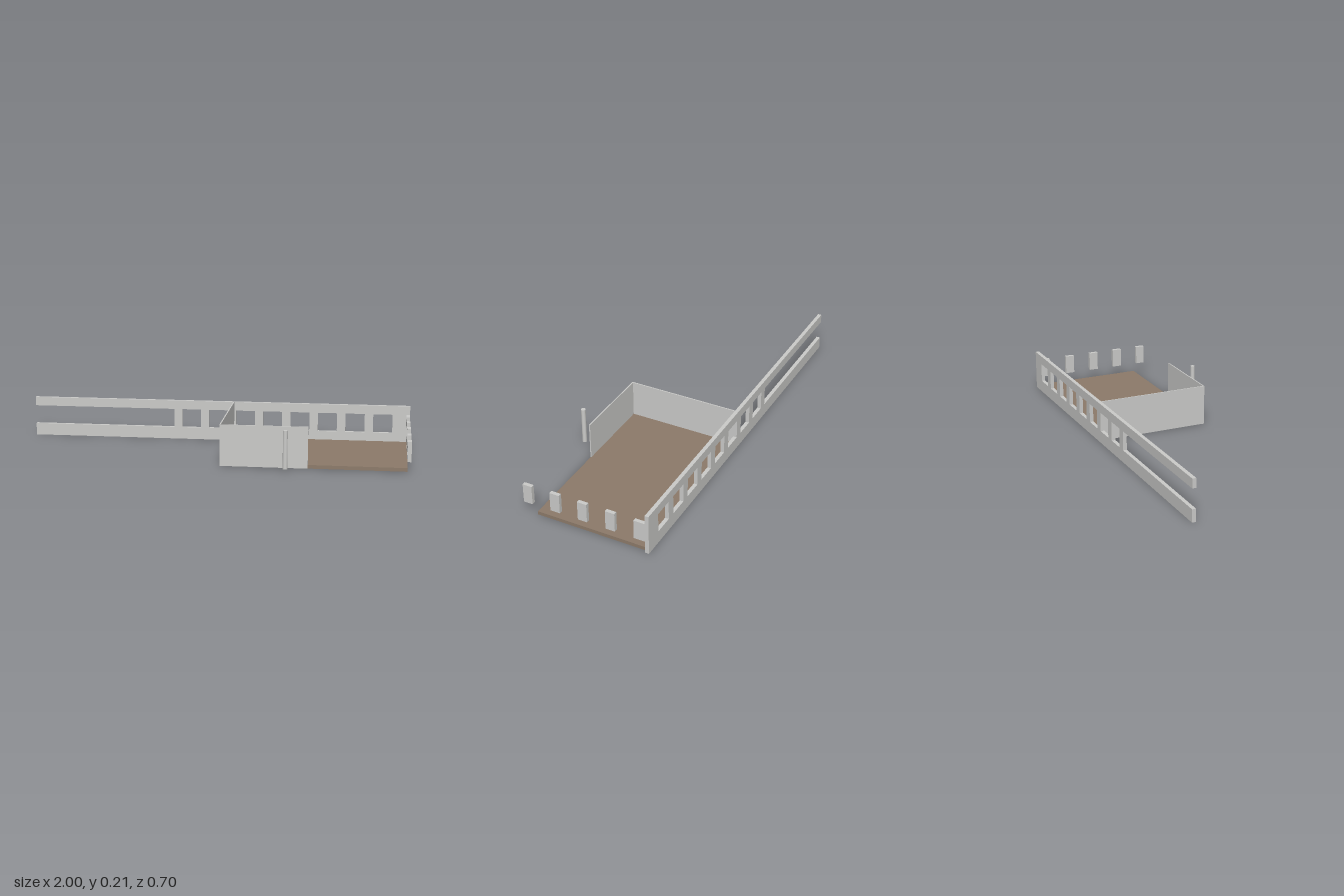
import * as THREE from 'three';

export function createModel() {
  const model = new THREE.Group();
  const concrete = new THREE.MeshStandardMaterial({ color: 0xcacac8 });
  concrete.name = 'concreteGrey';
  const wood = new THREE.MeshStandardMaterial({ color: 0x8c7a69 });
  wood.name = 'floorBrown';

  const add = (name, geometry, material) => {
    const mesh = new THREE.Mesh(geometry, material);
    mesh.name = name;
    model.add(mesh);
    return mesh;
  };
  // Box given by its lower and upper corner
  const box = (name, material, [x0, y0, z0], [x1, y1, z1]) =>
    add(name, new THREE.BoxGeometry(x1 - x0, y1 - y0, z1 - z0), material)
      .position.set((x0 + x1) / 2, (y0 + y1) / 2, (z0 + z1) / 2);

  const top = 0.207, sill = 0.063, head = 0.161;
  const backZ = -0.348, innerZ = -0.329;

  // Long back wall: eight windows, open between two rails at the far end
  const wall = new THREE.Shape([
    [-1, 0], [1, 0], [1, top], [-1, top],
    [-1, head], [-0.243, head], [-0.243, sill], [-1, sill],
  ].map(([x, y]) => new THREE.Vector2(x, y)));
  for (let i = 0; i < 8; i++) {
    const a = -0.2 + i * 0.1443, b = a + 0.1;
    wall.holes.push(new THREE.Path([
      [a, sill], [a, head], [b, head], [b, sill],
    ].map(([x, y]) => new THREE.Vector2(x, y))));
  }
  add('backWall', new THREE.ExtrudeGeometry(wall, { depth: innerZ - backZ, bevelEnabled: false }), concrete)
    .position.z = backZ;

  // Floor slab
  box('floor', wood, [0.077, 0, innerZ], [0.985, 0.018, 0.241]);

  // Thin side wall and half-width front wall
  box('sideWall', concrete, [0.073, 0, innerZ], [0.079, top, 0.244]);
  box('frontWall', concrete, [0.079, 0, 0.238], [0.505, top, 0.244]);

  // Row of piers between the openings of the end side
  const piers = [[-0.329, -0.272], [-0.176, -0.128], [-0.032, 0.016], [0.111, 0.161], [0.257, 0.304]];
  for (const [z0, z1] of piers) box('windowPier', concrete, [0.981, sill, z0], [1, head, z1]);

  // Free-standing round column in front
  add('column', new THREE.CylinderGeometry(0.0115, 0.0115, top - 0.018, 32), concrete)
    .position.set(0.402, (top + 0.018) / 2, 0.337);

  return model;
}
